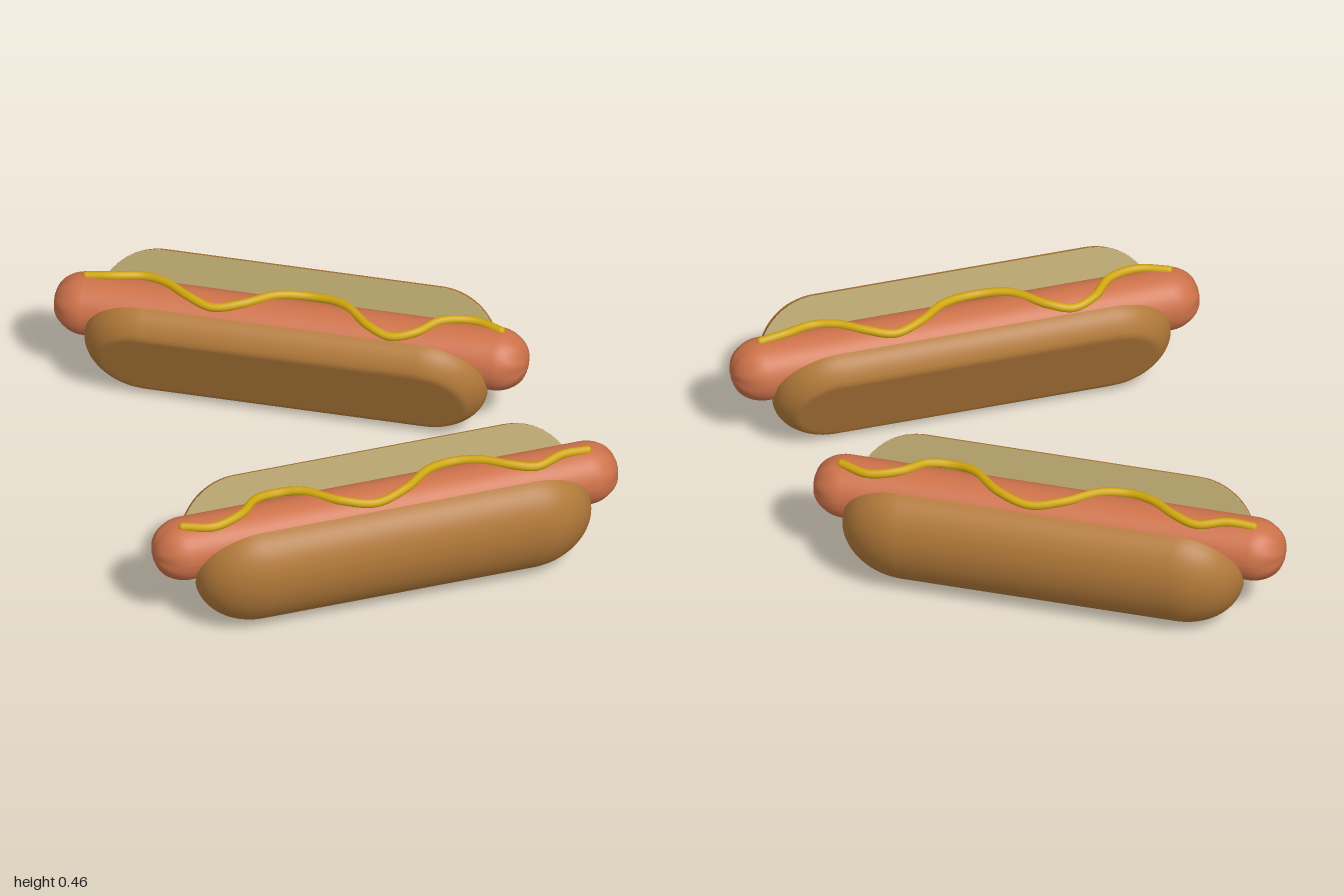
import * as THREE from 'three';

const mat = (name, color, side = THREE.FrontSide) => {
  const m = new THREE.MeshStandardMaterial({ color, side });
  m.name = name;
  return m;
};

// Half-capsule crust: y along the cut, z outward, optionally flattened at a depth
function crustGeometry(S, T, clip) {
  const N = 40, M = 32, half = 0.53, pos = [], idx = [];
  for (let i = 0; i <= N; i++) {
    const left = i <= N / 2;
    const k = left ? i / (N / 2) - 1 : (i - N / 2 - 1) / (N / 2 - 1);
    const phi = k * Math.PI / 2;
    const x = (left ? -half : half) + 0.243 * Math.sin(phi);
    const f = Math.max(Math.cos(phi), 0.001);
    for (let j = 0; j <= M; j++) {
      const a = j / M * Math.PI;
      pos.push(x, S * f * Math.cos(a), Math.min(T * f * Math.sin(a), clip));
      if (i < N && j < M) {
        const p = i * (M + 1) + j, q = p + M + 1;
        idx.push(p, p + 1, q, q, p + 1, q + 1);
      }
    }
  }
  const g = new THREE.BufferGeometry();
  g.setAttribute('position', new THREE.Float32BufferAttribute(pos, 3));
  g.setIndex(idx);
  g.computeVertexNormals();
  return g;
}

// Flat stadium-shaped cut face
function cutGeometry(S) {
  const pts = [];
  for (let i = 0; i <= 40; i++) {
    const a = -Math.PI / 2 + (i % 21) / 20 * Math.PI + (i > 20 ? Math.PI : 0);
    pts.push(new THREE.Vector2((i > 20 ? -0.53 : 0.53) + 0.243 * Math.cos(a), S * Math.sin(a)));
  }
  return new THREE.ShapeGeometry(new THREE.Shape(pts)).rotateY(Math.PI);
}

// Sausage with rounded, puckered ends
function sausageGeometry() {
  const R = 0.12, pts = [];
  for (const s of [-1, 1]) {
    for (let i = 0; i <= 12; i++) {
      const phi = (s < 0 ? 12 - i : i) / 12 * Math.PI / 2;
      const r = i === (s < 0 ? 0 : 12) ? 0 : R * Math.pow(Math.cos(phi), 0.85);
      pts.push(new THREE.Vector2(r, s * (0.79 + R * Math.sin(phi))));
    }
  }
  const g = new THREE.LatheGeometry(pts, 48);
  const p = g.attributes.position;
  for (let i = 0; i < p.count; i++) {
    const c = Math.max(0, (Math.abs(p.getY(i)) - 0.79) / R);
    const fold = 0.5 + 0.5 * Math.cos(8 * Math.atan2(p.getZ(i), p.getX(i)));
    const k = 1 - 0.12 * c * c * fold;
    p.setX(i, p.getX(i) * k);
    p.setZ(i, p.getZ(i) * k);
  }
  g.computeVertexNormals();
  return g.rotateZ(Math.PI / 2);
}

// Wavy mustard line lying over the sausage
function mustardGeometry() {
  const wave = [[-0.8, 0.02], [-0.69, 0.057], [-0.57, 0.02], [-0.49, -0.06], [-0.4, -0.09],
    [-0.31, -0.06], [-0.19, 0.045], [-0.06, 0.083], [0.07, 0.045], [0.18, -0.035],
    [0.29, -0.07], [0.39, -0.035], [0.49, 0.03], [0.58, 0.058], [0.69, 0.025], [0.79, 0.016]];
  const curve = new THREE.CatmullRomCurve3(
    wave.map(([x, z]) => new THREE.Vector3(x, 0.436 - 2.8 * z * z - (Math.abs(x) > 0.75 ? 0.01 : 0), z)));
  return new THREE.TubeGeometry(curve, 120, 0.017, 10);
}

export function createModel() {
  const bun = mat('bun crust', 0xb37a3a);
  const crumb = mat('bun crumb', 0xb7a46c, THREE.DoubleSide);
  const meat = mat('sausage', 0xcd724a);
  const sauce = mat('mustard', 0xd0a60c);

  const add = (parent, name, geometry, material) => {
    const m = new THREE.Mesh(geometry, material);
    m.name = name;
    parent.add(m);
    return m;
  };

  const S = 0.242;
  const cut = cutGeometry(S);
  const sausage = sausageGeometry();
  const mustard = mustardGeometry();
  const mustardCap = new THREE.SphereGeometry(0.017, 12, 8);
  // Domed front half and flatter back half
  const halves = [
    { name: 'frontBun', crust: crustGeometry(S, 0.175, 1), z: 0.1, turn: 0 },
    { name: 'backBun', crust: crustGeometry(S, 0.145, 0.1), z: 0.0925, turn: Math.PI },
  ];

  const hotDog = (name, z, turn) => {
    const g = new THREE.Group();
    g.name = name;
    g.position.z = z;
    g.rotation.y = turn;
    for (const h of halves) {
      const side = new THREE.Group();
      side.name = h.name;
      side.rotation.y = h.turn;
      const tilt = new THREE.Group();
      tilt.name = h.name + 'Tilt';
      tilt.position.set(0, 0.235, h.z);
      tilt.rotation.x = 0.38;
      add(tilt, h.name + 'Crust', h.crust, bun);
      add(tilt, h.name + 'CutFace', cut, crumb);
      side.add(tilt);
      g.add(side);
    }
    add(g, 'sausage', sausage, meat).position.y = 0.308;
    add(g, 'mustard', mustard, sauce);
    add(g, 'mustardEnd', mustardCap, sauce).position.set(-0.8, 0.425, 0.02);
    add(g, 'mustardEnd', mustardCap, sauce).position.set(0.79, 0.425, 0.016);
    return g;
  };

  const model = new THREE.Group();
  model.name = 'hotDogs';
  model.add(hotDog('frontHotDog', 0.715, 0), hotDog('backHotDog', -0.456, Math.PI * 5 / 6));
  return model;
}
